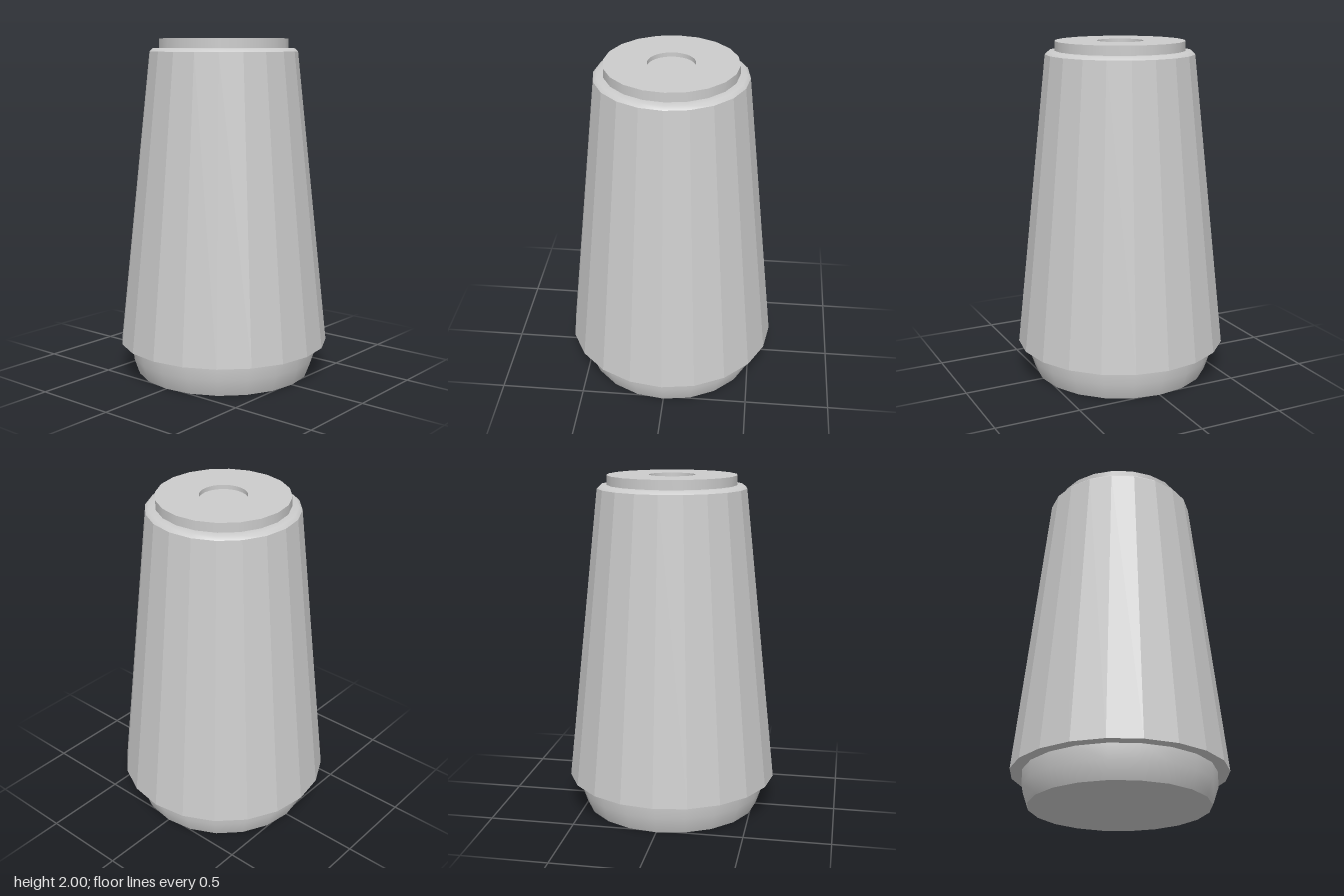
import * as THREE from 'three';

const SIDES = 20;
const material = new THREE.MeshStandardMaterial({ color: 0xcccccc });
const facetedMaterial = new THREE.MeshStandardMaterial({ color: 0xcccccc, flatShading: true });

// Turned band from [radius, height] points; outer surfaces run upwards
function turned(name, points, mat = material, sides = SIDES) {
  const profile = points.map(([r, y]) => new THREE.Vector2(r, y));
  const mesh = new THREE.Mesh(new THREE.LatheGeometry(profile, sides), mat);
  mesh.name = name;
  return mesh;
}

// Flat disc facing up (1) or down (-1), its corners lined up with the turned bands
function disc(name, radius, y, facing, sides = SIDES) {
  const mesh = new THREE.Mesh(new THREE.CircleGeometry(radius, sides), material);
  mesh.rotation.x = -facing * Math.PI / 2;
  mesh.position.y = y;
  mesh.name = name;
  return mesh;
}

// Flat top of the neck with a round opening
function topFace(outer, inner, y) {
  const corners = Array.from({ length: SIDES }, (_, i) => {
    const a = (i / SIDES) * Math.PI * 2;
    return new THREE.Vector2(outer * Math.cos(a), outer * Math.sin(a));
  });
  const shape = new THREE.Shape(corners);
  shape.holes.push(new THREE.Path().absarc(0, 0, inner, 0, Math.PI * 2, true));
  const mesh = new THREE.Mesh(new THREE.ShapeGeometry(shape, 16), material);
  mesh.rotation.x = -Math.PI / 2;
  mesh.position.y = y;
  mesh.name = 'neckTop';
  return mesh;
}

export function createModel() {
  const model = new THREE.Group();
  model.name = 'taperedBody';

  // Inset foot with a chamfered lower edge
  model.add(disc('footBottom', 0.52, 0, -1));
  model.add(turned('foot', [[0.52, 0], [0.528, 0.02], [0.555, 0.1], [0.555, 0.19]]));

  // Faceted tapering shell and the ledge beneath it
  model.add(turned('shellLedge', [[0.555, 0.19], [0.625, 0.19]], facetedMaterial));
  model.add(turned('shell', [[0.625, 0.19], [0.437, 1.925]], facetedMaterial));

  // Soft shoulder
  model.add(turned('shoulder', [[0.437, 1.925], [0.417, 1.943], [0.38, 1.945]]));

  // Neck with a shallow round recess
  model.add(turned('neck', [[0.38, 1.94], [0.38, 2]]));
  model.add(topFace(0.38, 0.135, 2));
  model.add(turned('recessWall', [[0.135, 2], [0.135, 1.975]], material, 32));
  model.add(disc('recessFloor', 0.135, 1.975, 1, 32));

  return model;
}
